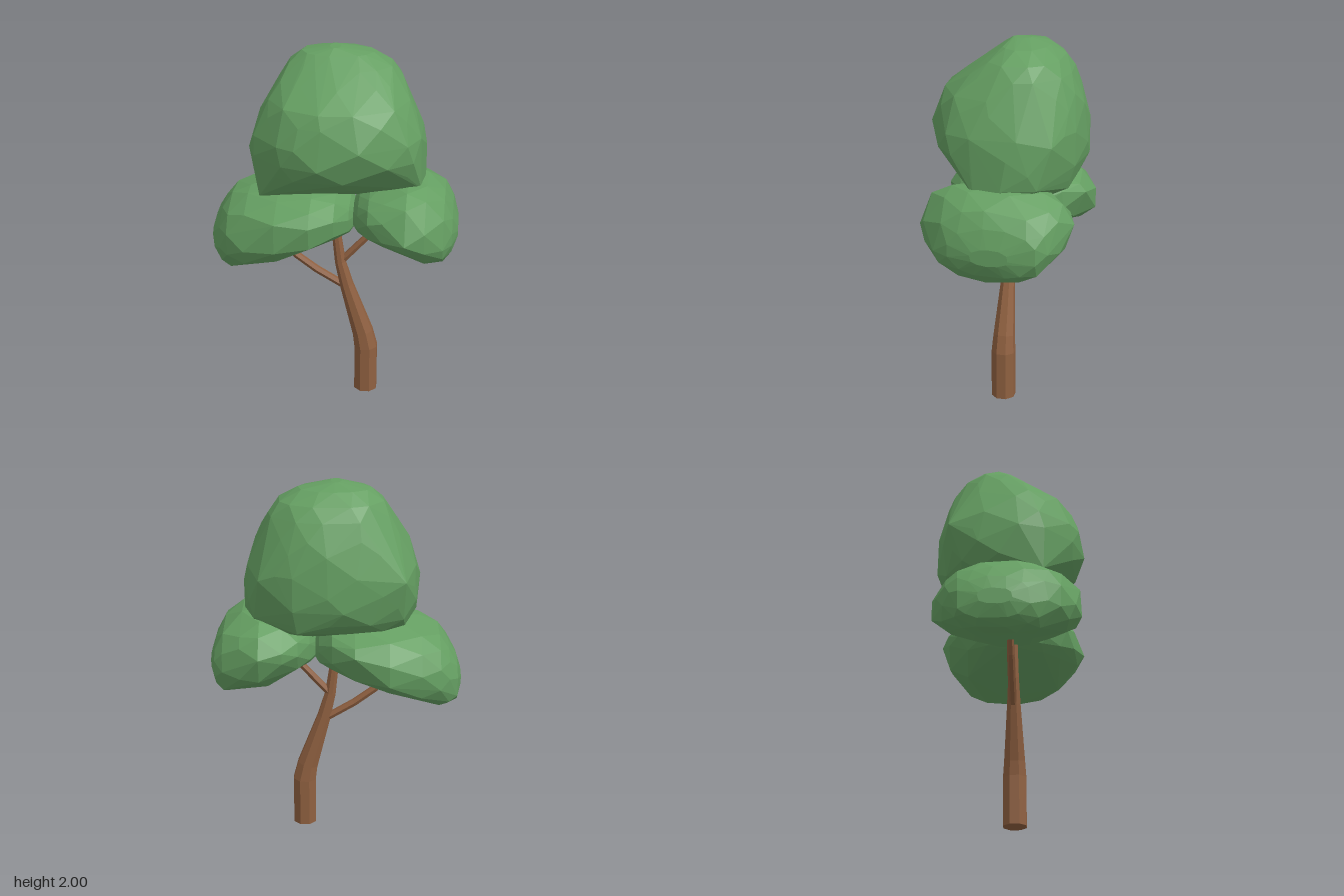
import * as THREE from 'three';
import { ConvexGeometry } from 'three/addons/geometries/ConvexGeometry.js';

const leafMaterial = new THREE.MeshStandardMaterial({ color: 0x659f62, flatShading: true });
const barkMaterial = new THREE.MeshStandardMaterial({ color: 0x8f6040, flatShading: true });

function seeded(seed) {
  return () => {
    seed = (seed * 16807) % 2147483647;
    return seed / 2147483647;
  };
}

// Faceted leaf mass: hull around oval sections [along, aMin, aMax, zMin, zMax].
// axis 'y' stacks sections upward (a = x), axis 'x' stacks them sideways (a = y).
// Sideways masses get a flatter underside; corners are extra hull points.
function leafMass(name, axis, sections, corners, seed) {
  const random = seeded(seed);
  const count = 12;
  const bulge = (v, power) => Math.sign(v) * Math.abs(v) ** power;
  const points = corners.map((corner) => new THREE.Vector3(...corner));
  sections.forEach(([along, a0, a1, z0, z1], row) => {
    for (let i = 0; i < count; i++) {
      const angle = ((i + (row % 2) * 0.5 + (random() - 0.5) * 0.6) / count) * Math.PI * 2;
      const r = 1.015 - random() * 0.035;
      const c = Math.cos(angle);
      const power = axis === 'x' && c < 0 ? 0.68 : 0.93;
      const a = (a0 + a1) / 2 + ((a1 - a0) / 2) * bulge(c, power) * r;
      const z = (z0 + z1) / 2 + ((z1 - z0) / 2) * bulge(Math.sin(angle), 0.93) * r;
      points.push(axis === 'y' ? new THREE.Vector3(a, along, z) : new THREE.Vector3(along, a, z));
    }
  });
  const mesh = new THREE.Mesh(new ConvexGeometry(points), leafMaterial);
  mesh.name = name;
  return mesh;
}

// Tapered, bent limb through stations [x, y, radius], with closed ends
function limb(name, stations, sides, z) {
  const positions = [];
  const indices = [];
  const last = stations.length - 1;
  stations.forEach(([x, y, radius], k) => {
    const before = stations[Math.max(k - 1, 0)];
    const after = stations[Math.min(k + 1, last)];
    const t = new THREE.Vector2(after[0] - before[0], after[1] - before[1]).normalize();
    for (let i = 0; i < sides; i++) {
      const angle = ((i + 0.5) / sides) * Math.PI * 2;
      const across = Math.cos(angle) * radius;
      positions.push(x + t.y * across, y - t.x * across, z + Math.sin(angle) * radius);
      if (k < last) {
        const a = k * sides + i;
        const b = k * sides + ((i + 1) % sides);
        indices.push(a, a + sides, b, b, a + sides, b + sides);
      }
    }
  });
  const top = last * sides;
  for (let i = 1; i < sides - 1; i++) {
    indices.push(0, i, i + 1, top, top + i + 1, top + i);
  }
  const geometry = new THREE.BufferGeometry();
  geometry.setAttribute('position', new THREE.Float32BufferAttribute(positions, 3));
  geometry.setIndex(indices);
  geometry.computeVertexNormals();
  const mesh = new THREE.Mesh(geometry, barkMaterial);
  mesh.name = name;
  return mesh;
}

export function createModel() {
  const tree = new THREE.Group();
  tree.name = 'tree';

  // Bent trunk and its two side branches
  tree.add(
    limb('trunk', [
      [0.178, 0, 0.067], [0.178, 0.27, 0.067], [0.16, 0.36, 0.06],
      [0.068, 0.65, 0.039], [0.032, 0.79, 0.031], [0.006, 1.0, 0.025],
    ], 8, 0.014),
    limb('rightBranch', [
      [0.06, 0.64, 0.021], [-0.1, 0.735, 0.021], [-0.215, 0.82, 0.02], [-0.265, 0.89, 0.018],
    ], 6, 0.01),
    limb('leftBranch', [
      [0.035, 0.79, 0.021], [0.14, 0.905, 0.02], [0.21, 0.98, 0.018],
    ], 6, 0.01),
  );

  // Tall crown, sloping forward at the top and undercut at the front
  tree.add(leafMass('crown', 'y', [
    [1.2, -0.1, 0.34, -0.2, 0.02],
    [1.25, -0.39, 0.43, -0.3, 0.13],
    [1.31, -0.43, 0.487, -0.37, 0.25],
    [1.39, -0.45, 0.49, -0.405, 0.37],
    [1.47, -0.455, 0.49, -0.41, 0.41],
    [1.57, -0.435, 0.482, -0.41, 0.41],
    [1.68, -0.385, 0.437, -0.39, 0.38],
    [1.75, -0.355, 0.407, -0.37, 0.35],
    [1.84, -0.3, 0.36, -0.33, 0.23],
    [1.91, -0.255, 0.305, -0.28, 0.13],
    [1.97, -0.18, 0.2, -0.2, 0.05],
    [2.0, -0.03, 0.03, -0.1, 0.0],
  ], [
    [-0.38, 1.24, 0.19], [0.47, 1.28, 0.1], [0.2, 1.26, -0.34],
    [0.4, 1.53, -0.29], [-0.36, 1.53, -0.32],
  ], 17));

  // Long drooping lobe
  tree.add(leafMass('rightLobe', 'x', [
    [-0.67, 0.89, 0.98, -0.14, 0.04],
    [-0.645, 0.82, 1.06, -0.25, 0.13],
    [-0.6, 0.79, 1.14, -0.29, 0.22],
    [-0.55, 0.78, 1.2, -0.325, 0.285],
    [-0.45, 0.81, 1.24, -0.37, 0.355],
    [-0.28, 0.87, 1.275, -0.413, 0.405],
    [-0.1, 0.94, 1.28, -0.385, 0.385],
    [0.02, 0.985, 1.25, -0.29, 0.29],
    [0.09, 1.0, 1.19, -0.18, 0.18],
    [0.12, 1.03, 1.13, -0.07, 0.07],
  ], [], 41));

  // Short lobe on the other side
  tree.add(leafMass('leftLobe', 'x', [
    [0.11, 1.03, 1.17, -0.12, 0.12],
    [0.14, 1.015, 1.22, -0.21, 0.21],
    [0.2, 1.0, 1.27, -0.31, 0.31],
    [0.28, 0.975, 1.305, -0.37, 0.36],
    [0.4, 0.93, 1.33, -0.413, 0.405],
    [0.5, 0.89, 1.31, -0.375, 0.365],
    [0.595, 0.86, 1.25, -0.32, 0.28],
    [0.64, 0.91, 1.17, -0.27, 0.2],
    [0.67, 0.98, 1.07, -0.13, 0.07],
  ], [[0.36, 0.94, -0.26], [0.5, 0.915, 0.25]], 73));

  return tree;
}
